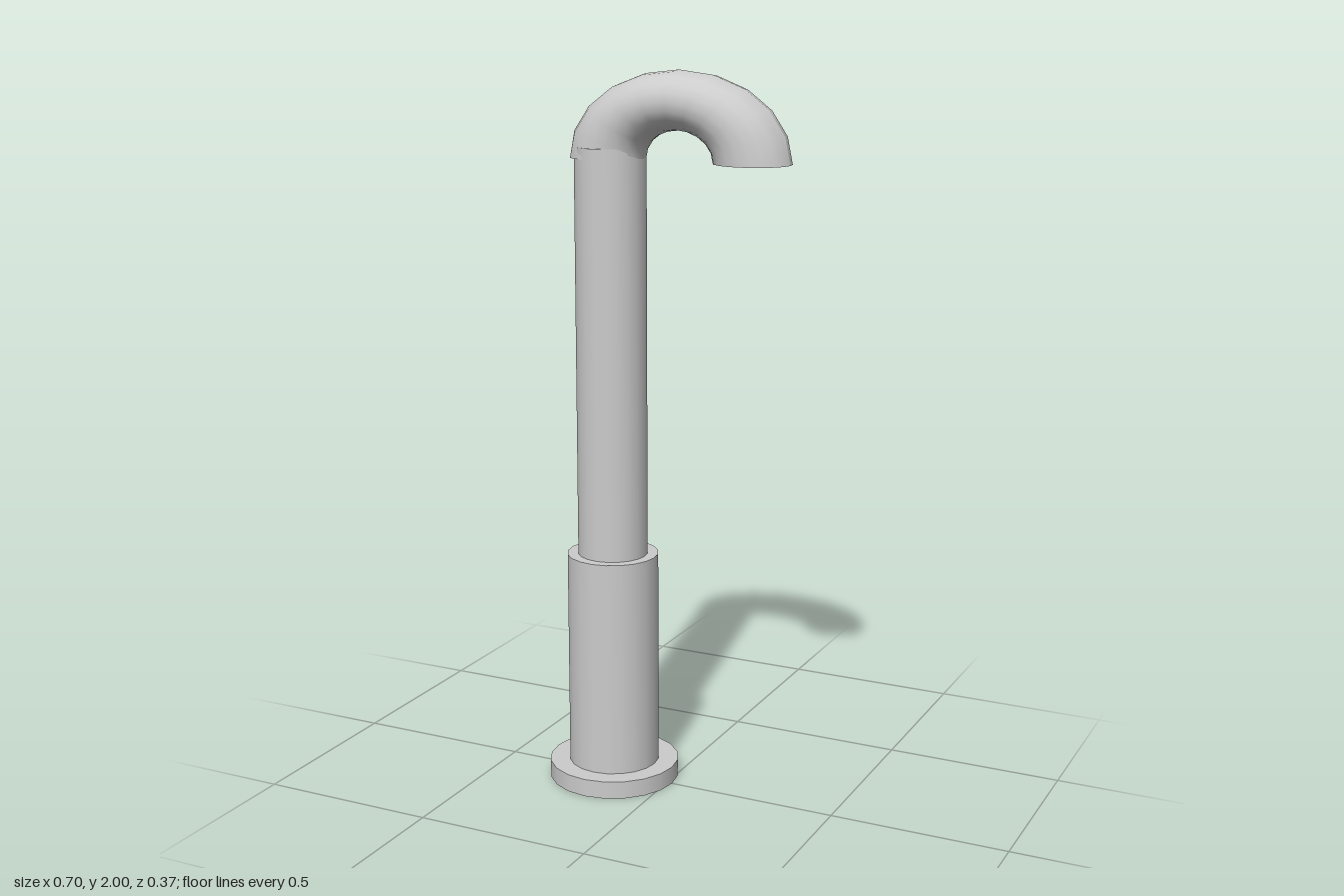
import * as THREE from 'three';

const POST_X = -0.168;
const SIDES = 20;

export function createModel() {
  const group = new THREE.Group();
  group.name = 'hookedPipe';
  const material = new THREE.MeshStandardMaterial({ color: 0xcccccc });
  const openMaterial = new THREE.MeshStandardMaterial({ color: 0xcccccc, side: THREE.DoubleSide });

  const add = (name, geometry, mat, x, y) => {
    const mesh = new THREE.Mesh(geometry, mat);
    mesh.name = name;
    mesh.position.set(x, y, 0);
    group.add(mesh);
  };

  // Upright stack: flange, sleeve and column, each [name, radius, bottom, top]
  const stack = [
    ['baseFlange', 0.184, 0, 0.05],
    ['sleeve', 0.128, 0.05, 0.665],
    ['column', 0.098, 0.665, 1.795],
  ];
  for (const [name, radius, bottom, top] of stack) {
    const geometry = new THREE.CylinderGeometry(radius, radius, top - bottom, SIDES);
    add(name, geometry, material, POST_X, (bottom + top) / 2);
  }

  // Flattened half-ring spout, open at its free end
  const spoutX = 0.035;
  const spout = new THREE.TorusGeometry(0.21, 0.105, SIDES, 10, Math.PI);
  spout.scale(1, 0.746, 0.895);
  spout.computeVertexNormals();

  // Tuck the root of the spout inside the column
  const p = spout.attributes.position;
  const minX = -0.263 - spoutX;
  for (let i = 0; i < p.count; i++) p.setX(i, Math.max(p.getX(i), minX));
  add('spout', spout, openMaterial, spoutX, 1.765);

  return group;
}
